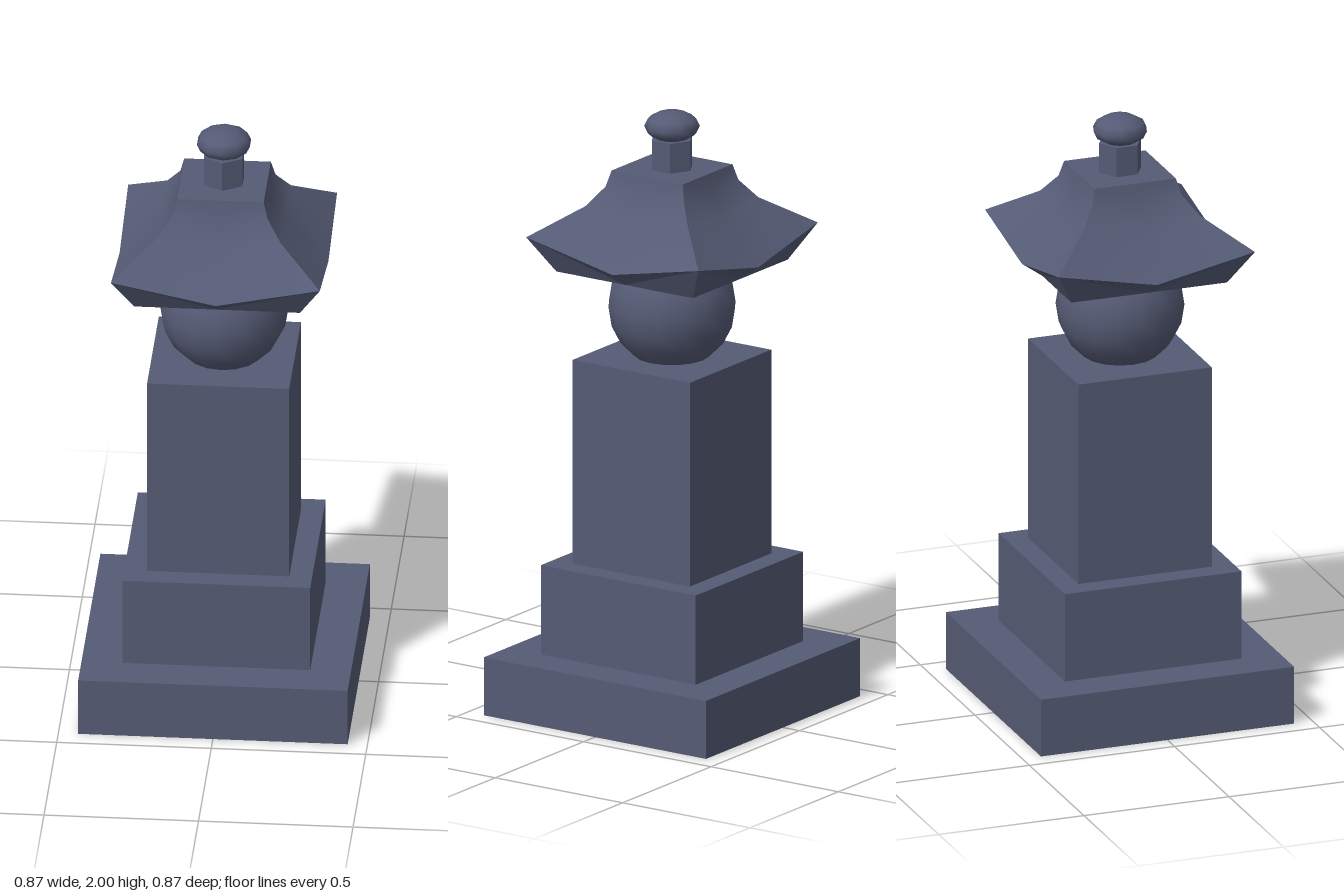
import * as THREE from 'three';

export function createModel() {
  const model = new THREE.Group();
  const smooth = new THREE.MeshStandardMaterial({ color: 0x555b75 });
  const flat = smooth.clone();
  flat.flatShading = true;

  function add(name, geometry, material, y = 0, parent = model) {
    const mesh = new THREE.Mesh(geometry, material);
    mesh.name = name;
    mesh.position.y = y;
    parent.add(mesh);
    return mesh;
  }

  // Stepped square plinth and shaft: name, half width, bottom, top
  for (const [name, half, y0, y1] of [
    ['base', 0.436, 0, 0.195],
    ['plinth', 0.304, 0.195, 0.495],
    ['shaft', 0.23, 0.495, 1.18],
  ]) add(name, new THREE.BoxGeometry(half * 2, y1 - y0, half * 2), flat, (y0 + y1) / 2);

  // Round body resting in the shaft top
  add('sphere', new THREE.SphereGeometry(0.208, 16, 10), smooth, 1.35);

  // Surface through rows of points, bottom row first, facing +z
  function loft(rows) {
    const n = rows[0].length, index = [];
    for (let r = 0; r < rows.length - 1; r++) {
      for (let i = 0; i < n - 1; i++) {
        const a = r * n + i, b = a + 1, c = a + n, d = c + 1;
        // Mirror the diagonal about the middle of the side
        if (i < (n - 1) / 2) index.push(a, b, c, b, d, c);
        else index.push(a, b, d, a, d, c);
      }
    }
    const g = new THREE.BufferGeometry();
    g.setAttribute('position', new THREE.Float32BufferAttribute(rows.flat(2), 3));
    g.setIndex(index);
    g.computeVertexNormals();
    return g;
  }

  // Roof rows: half width, corner height, sag at the middle of the side
  const row = ([half, y, sag]) => [-1, 0, 1].map((u) => [u * half, y - sag * (1 - Math.abs(u)), half]);
  const slope = loft([[0.338, 1.6, 0.07], [0.2, 1.695, 0.025], [0.154, 1.757, 0.008], [0.14, 1.81, 0]].map(row));
  const eave = loft([[0.268, 1.48, 0], [0.338, 1.6, 0.07]].map(row));

  const roof = new THREE.Group();
  roof.name = 'roof';
  model.add(roof);
  for (let i = 0; i < 4; i++) {
    add('roofSlope', slope, smooth, 0, roof).rotation.y = (i * Math.PI) / 2;
    add('roofEave', eave, flat, 0, roof).rotation.y = (i * Math.PI) / 2;
  }
  add('roofTop', new THREE.PlaneGeometry(0.28, 0.28).rotateX(-Math.PI / 2), flat, 1.81, roof);
  add('roofUnderside', new THREE.PlaneGeometry(0.536, 0.536).rotateX(Math.PI / 2), flat, 1.48, roof);

  // Six-sided neck and flattened ball finial
  add('finialNeck', new THREE.CylinderGeometry(0.072, 0.072, 0.1, 6), flat, 1.86);
  const ball = new THREE.SphereGeometry(0.09, 10, 6).rotateY(Math.PI / 2).scale(1, 0.05 / 0.09, 1);
  add('finialBall', ball, smooth, 1.95);

  return model;
}
